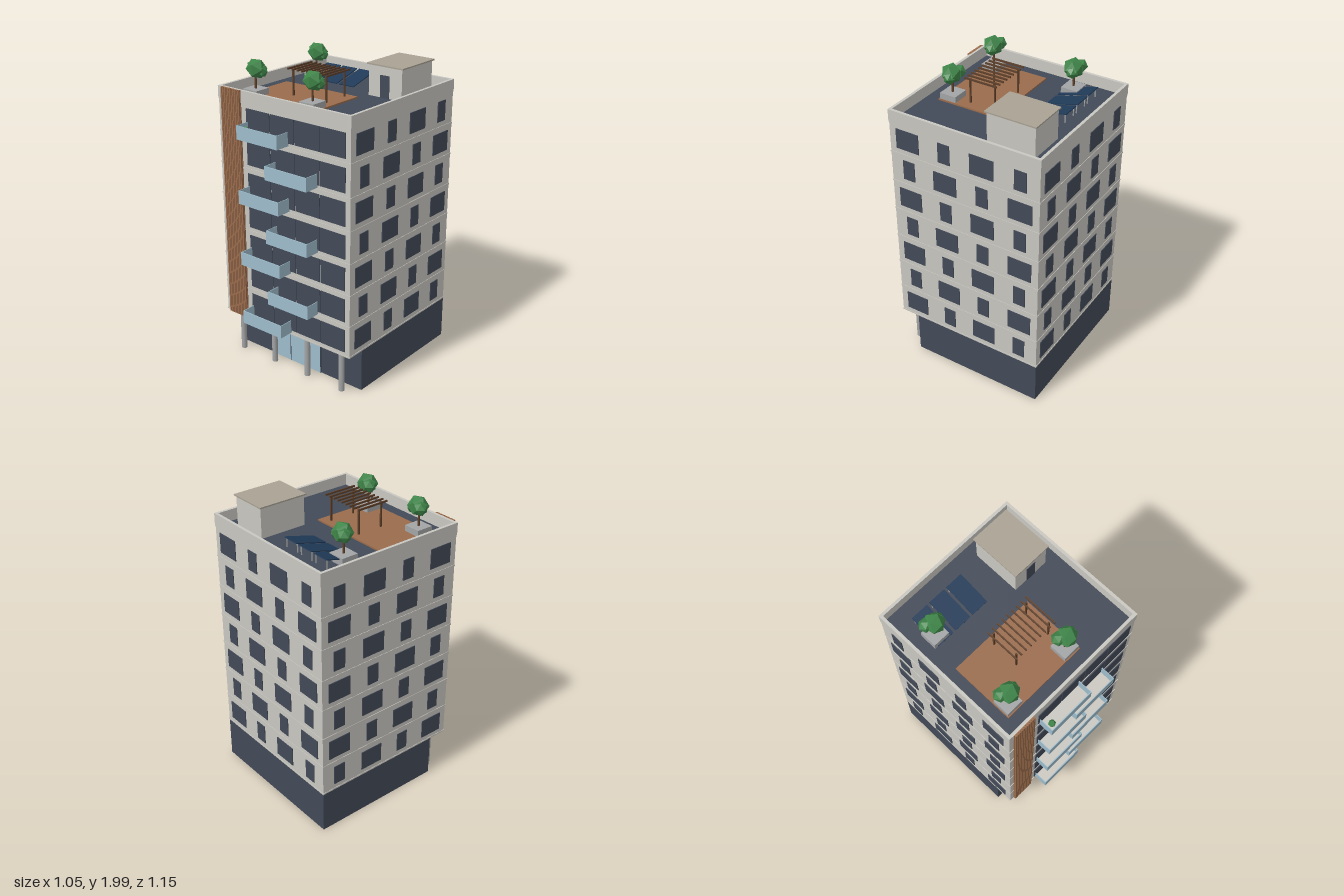
import * as THREE from 'three';

const mat = (name, color, flatShading = false) => {
  const m = new THREE.MeshStandardMaterial({ color, flatShading });
  m.name = name;
  return m;
};

export function createModel() {
  const M = {
    wall: mat('wall', 0xc9c7c0),
    slate: mat('slate', 0x424a58),
    glass: mat('glass', 0x9dbccb),
    wood: mat('wood', 0x9a6b4b),
    timber: mat('darkTimber', 0x5f412b),
    solar: mat('solarBlue', 0x203a58),
    tan: mat('tanRoof', 0xa9a294),
    leaf: mat('foliage', 0x3f8549, true),
    grey: mat('grey', 0xa3a4a5),
  };
  const root = new THREE.Group();
  root.name = 'apartmentBuilding';

  const add = (name, geo, m, x, y, z, parent = root) => {
    const mesh = new THREE.Mesh(geo, m);
    mesh.name = name;
    mesh.position.set(x, y, z);
    parent.add(mesh);
    return mesh;
  };
  // box given by its min and max corners
  const box = (name, m, x0, x1, y0, y1, z0, z1, parent = root) =>
    add(name, new THREE.BoxGeometry(x1 - x0, y1 - y0, z1 - z0), m,
      (x0 + x1) / 2, (y0 + y1) / 2, (z0 + z1) / 2, parent);
  const group = (name, x = 0, y = 0, z = 0) => {
    const g = new THREE.Group();
    g.name = name;
    g.position.set(x, y, z);
    root.add(g);
    return g;
  };

  const W = 0.52, ZB = -0.572, ZF = 0.472, ZC = (ZB + ZF) / 2;
  const Y0 = 0.287, FH = 0.2095, FLOORS = 7, ROOF = Y0 + FH * FLOORS, TOP = 1.835;

  // Ground floor, set back at the front, and the main block
  box('groundFloor', M.slate, -W, W, 0, Y0, ZB, 0.347);
  box('mainBlock', M.wall, -W, W, Y0, ROOF, ZB, ZF);
  box('roofSurface', M.slate, -W + 0.01, W - 0.01, ROOF, ROOF + 0.006, ZB + 0.01, ZF - 0.01);

  // Parapet
  const P = 0.019, E = 0.003;
  for (const s of [-1, 1]) {
    const x = s * (W + E - P / 2);
    box('parapetSide', M.wall, x - P / 2, x + P / 2, ROOF, TOP, ZB - E, ZF + E);
  }
  box('parapetFront', M.wall, -W - E + P, W + E - P, ROOF, TOP, ZF + E - P, ZF + E);
  box('parapetBack', M.wall, -W - E + P, W + E - P, ROOF, TOP, ZB - E, ZB - E + P);

  // Entrance: glass panes, mullions, canopy, columns
  box('entranceGlass', M.glass, -0.195, 0.19, 0, 0.235, 0.34, 0.353);
  for (let i = 0; i < 4; i++) {
    const x = -0.195 + i * 0.1283;
    box('entranceMullion', M.slate, x - 0.002, x + 0.002, 0, 0.235, 0.345, 0.355);
  }
  box('entranceCanopy', M.slate, -0.225, 0.215, 0.238, 0.25, 0.345, 0.402);
  for (let i = 0; i < 4; i++)
    add('column', new THREE.CylinderGeometry(0.019, 0.019, Y0, 16), M.grey,
      -0.428 + i * 0.2835, Y0 / 2, 0.425);

  // Storeys
  for (let f = 0; f < FLOORS; f++) {
    const y = Y0 + f * FH, yc = y + 0.11;
    box('floorBand', M.wall, -W - E, W + E, y, y + 0.01, ZB - E, ZF + E);

    // Front glazing in four bays
    for (let i = 0; i < 4; i++) {
      const x = -0.288 + i * 0.1943;
      box('frontWindow', M.slate, x, x + 0.189, yc - 0.077, yc + 0.077, ZF - 0.002, ZF + 0.005);
    }
    // Side and back windows alternate wide and narrow
    for (let i = 0; i < 4; i++) {
      const w = (i + f) % 2 ? 0.083 : 0.163;
      const z = ZC + (1.5 - i) * 0.2622, x = (1.5 - i) * 0.2615;
      for (const s of [-1, 1])
        add('sideWindow', new THREE.BoxGeometry(0.007, 0.133, w), M.slate, s * (W + 0.0015), yc, z);
      add('backWindow', new THREE.BoxGeometry(w, 0.133, 0.007), M.slate, x, yc, ZB - 0.0015);
    }
    // Balcony, shifting from side to side
    const x0 = f % 2 ? -0.056 : -0.278, x1 = x0 + 0.328, yb = y + 0.016;
    const b = group('balcony');
    box('balconySlab', M.wall, x0 + 0.004, x1 - 0.004, yb, yb + 0.014, ZF, 0.569, b);
    box('balconyFrontGlass', M.glass, x0, x1, yb, yb + 0.088, 0.569, 0.575, b);
    box('balconySideGlass', M.glass, x0, x0 + 0.004, yb, yb + 0.088, ZF, 0.569, b);
    box('balconySideGlass', M.glass, x1 - 0.004, x1, yb, yb + 0.088, ZF, 0.569, b);
  }
  // Potted shrub on the top balcony
  const by = Y0 + 6 * FH + 0.03;
  add('shrubPot', new THREE.CylinderGeometry(0.014, 0.011, 0.025, 10), M.grey, -0.238, by + 0.0125, 0.535);
  add('shrub', new THREE.IcosahedronGeometry(0.024, 0), M.leaf, -0.238, by + 0.043, 0.535);

  // Timber cladding with vertical slats
  box('claddingBoard', M.wood, -0.488, -0.33, 0.29, TOP, ZF, 0.48);
  const slats = 11, pitch = 0.158 / slats;
  for (let i = 0; i < slats; i++) {
    const x = -0.488 + i * pitch;
    box('claddingSlat', M.wood, x + 0.002, x + pitch - 0.002, 0.288, TOP, 0.479, 0.49);
  }

  // Roof deck
  const deckY = ROOF + 0.016;
  box('roofDeck', M.wood, -0.424, 0.161, ROOF, deckY, -0.051, 0.369);

  // Pergola
  const pergola = group('pergola');
  for (const x of [-0.165, 0.096])
    for (const z of [0, 0.176])
      box('pergolaPost', M.timber, x - 0.005, x + 0.005, deckY, 1.934, z - 0.005, z + 0.005, pergola);
  for (let i = 0; i < 9; i++) {
    const x = -0.187 + i * 0.038;
    box('pergolaSlat', M.timber, x - 0.004, x + 0.004, 1.933, 1.944, -0.026, 0.204, pergola);
  }

  // Solar panels, raised at the back
  for (let i = 0; i < 3; i++) {
    const g = group('solarPanel', -0.337 + i * 0.137, ROOF + 0.042, -0.325);
    const p = add('panel', new THREE.BoxGeometry(0.118, 0.006, 0.222), M.solar, 0, 0, 0, g);
    p.rotation.x = 0.26;
    for (const x of [-0.05, 0.05])
      box('panelLeg', M.grey, x - 0.003, x + 0.003, -0.04, 0.023, -0.098, -0.092, g);
  }

  // Stair house
  box('stairHouse', M.wall, 0.168, 0.418, ROOF, 1.957, -0.475, -0.153);
  box('stairHouseRoof', M.tan, 0.157, 0.429, 1.957, 1.966, -0.485, -0.143);
  box('stairHouseDoor', M.slate, 0.257, 0.325, ROOF, 1.902, -0.155, -0.149);

  // Trees in planters
  const blobs = [[0.01, 1.934, 0, 0.067], [-0.035, 1.937, -0.025, 0.045], [0.042, 1.922, -0.01, 0.042]];
  for (const [x, z] of [[-0.362, 0.305], [0.098, 0.305], [-0.362, -0.28]]) {
    const t = group('tree', x, 0, z);
    box('planter', M.grey, -0.057, 0.057, ROOF, ROOF + 0.055, -0.057, 0.057, t);
    add('trunk', new THREE.CylinderGeometry(0.006, 0.008, 0.13, 8), M.timber, 0, 1.855, 0, t);
    for (const [bx, y, bz, r] of blobs)
      add('foliage', new THREE.IcosahedronGeometry(r, 0), M.leaf, bx, y, bz, t).rotation.y = bx * 20;
  }
  return root;
}
